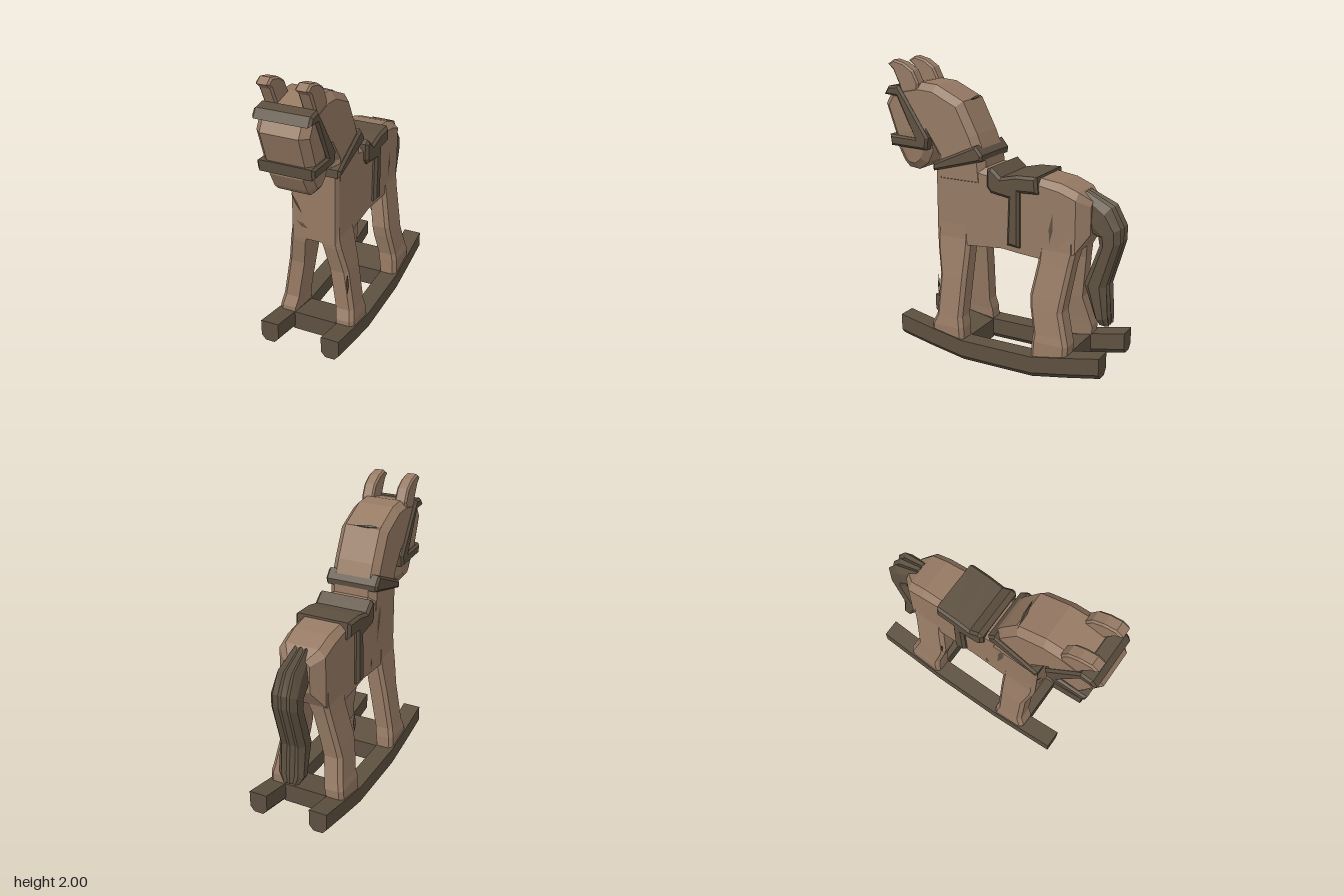
import * as THREE from 'three';

const wood = new THREE.MeshStandardMaterial({ color: 0x967a64, flatShading: true, side: THREE.DoubleSide });
const dark = new THREE.MeshStandardMaterial({ color: 0x5d5040, flatShading: true, side: THREE.DoubleSide });

// Side outline given as [z, y] points, extruded across x with chamfered edges
function slab(points, halfWidth, bevel, x = 0) {
  const shape = new THREE.Shape(points.map(([z, y]) => new THREE.Vector2(z, y)));
  const depth = 2 * (halfWidth - bevel);
  const g = new THREE.ExtrudeGeometry(shape, {
    depth, bevelEnabled: true, bevelSize: bevel, bevelThickness: bevel, bevelOffset: -bevel, bevelSegments: 1,
  });
  return g.translate(0, 0, -depth / 2).rotateY(-Math.PI / 2).translate(x, 0, 0);
}

// Skin over a row of equal rings of [x, y, z] points, capped and wound outward
function loft(rings) {
  const n = rings[0].length, tris = [];
  for (let r = 0; r < rings.length - 1; r++) {
    for (let i = 0; i < n; i++) {
      const j = (i + 1) % n, a = rings[r], b = rings[r + 1];
      tris.push([a[i], a[j], b[j]], [a[i], b[j], b[i]]);
    }
  }
  const last = rings[rings.length - 1];
  for (let i = 1; i < n - 1; i++) {
    tris.push([rings[0][0], rings[0][i + 1], rings[0][i]], [last[0], last[i], last[i + 1]]);
  }
  const V = (p) => new THREE.Vector3(...p);
  const volume = tris.reduce((s, [a, b, c]) => s + V(a).dot(V(b).cross(V(c))), 0);
  if (volume < 0) tris.forEach((t) => t.reverse());
  const g = new THREE.BufferGeometry();
  g.setAttribute('position', new THREE.Float32BufferAttribute(tris.flat(2), 3));
  g.computeVertexNormals();
  return g;
}

export function createModel() {
  const group = new THREE.Group();
  const add = (name, geometry, material) => {
    const mesh = new THREE.Mesh(geometry, material);
    mesh.name = name;
    group.add(mesh);
    return mesh;
  };

  // Body: sections along z as [z, bottom, top, half width, top chamfer]
  add('body', loft([
    [0.435, 0.8, 1.34, 0.15, 0.03], [0.405, 0.8, 1.36, 0.165, 0.04], [0.18, 0.8, 1.36, 0.165, 0.04],
    [0.05, 0.81, 1.335, 0.165, 0.04], [-0.07, 0.82, 1.28, 0.165, 0.04], [-0.2, 0.805, 1.3, 0.165, 0.04],
    [-0.33, 0.795, 1.315, 0.165, 0.04], [-0.47, 0.795, 1.295, 0.165, 0.045],
    [-0.585, 0.86, 1.25, 0.16, 0.045], [-0.66, 0.98, 1.19, 0.09, 0.03],
  ].map(([z, b, t, w, c]) => [
    [-w, b, z], [w, b, z], [w, t - c, z], [w - c, t, z], [c - w, t, z], [-w, t - c, z],
  ])), wood);

  // Neck and head in one outline, narrowing at the muzzle
  const head = slab([
    [0.435, 1.2], [0.435, 1.385], [0.49, 1.5], [0.49, 1.395], [0.53, 1.315], [0.6, 1.265], [0.68, 1.275],
    [0.72, 1.315], [0.77, 1.41], [0.775, 1.5], [0.845, 1.7], [0.79, 1.79], [0.71, 1.83], [0.56, 1.86],
    [0.44, 1.85], [0.24, 1.755], [0.135, 1.55], [0.075, 1.4], [0.06, 1.2],
  ], 0.168, 0.045);
  const p = head.attributes.position;
  for (let i = 0; i < p.count; i++) {
    if (p.getZ(i) > 0.48 && p.getY(i) < 1.46) p.setX(i, p.getX(i) * 0.88);
  }
  add('neckAndHead', head, wood);

  // Harness
  add('bridle', slab([
    [0.79, 1.825], [0.71, 1.835], [0.66, 1.765], [0.485, 1.5], [0.5, 1.415], [0.78, 1.425], [0.79, 1.5],
    [0.59, 1.49], [0.725, 1.76], [0.825, 1.77],
  ], 0.185, 0.015), dark);
  add('collar', slab([
    [0.445, 1.34], [0.445, 1.285], [0.075, 1.385], [0.07, 1.425], [0.12, 1.485],
  ], 0.188, 0.015), dark);
  add('saddle', slab([
    [0.035, 1.34], [0, 1.36], [-0.07, 1.3], [-0.18, 1.325], [-0.325, 1.33], [-0.335, 1.22], [-0.205, 1.215],
    [-0.205, 0.845], [-0.115, 0.855], [-0.125, 1.17], [0.005, 1.19], [0.035, 1.23],
  ], 0.195, 0.018), dark);

  // Tail: sections as [inner z, inner y, outer z, outer y, half width], grooved on both faces
  const across = [[-1, 0.25], [-0.65, 0], [-0.33, 0.1], [0, 0], [0.33, 0.1], [0.65, 0], [1, 0.25]];
  add('tail', loft([
    [-0.58, 1.1, -0.6, 1.25, 0.06], [-0.64, 0.99, -0.78, 1.165, 0.085], [-0.7, 0.965, -0.85, 1.035, 0.09],
    [-0.71, 0.91, -0.85, 0.94, 0.09], [-0.615, 0.64, -0.765, 0.64, 0.09], [-0.695, 0.42, -0.78, 0.43, 0.09],
    [-0.71, 0.38, -0.785, 0.37, 0.06],
  ].map(([iz, iy, oz, oy, w]) => {
    const at = (x, t) => [x * w, iy + (oy - iy) * t, iz + (oz - iz) * t];
    return [...across.map(([x, d]) => at(x, d)), ...[...across].reverse().map(([x, d]) => at(x, 1 - d))];
  })), dark);

  // Legs: sections as [y, front z, back z, inner x, outer x]
  const legs = {
    frontLeg: [
      [1.0, 0.425, 0.18, 0, 0.163], [0.84, 0.435, 0.18, 0.04, 0.168], [0.77, 0.43, 0.18, 0.065, 0.18],
      [0.58, 0.392, 0.188, 0.095, 0.215], [0.3, 0.4, 0.2, 0.138, 0.257],
      [0.23, 0.43, 0.185, 0.15, 0.27], [0.14, 0.435, 0.18, 0.16, 0.272],
    ],
    hindLeg: [
      [1.0, -0.335, -0.585, 0, 0.16], [0.86, -0.335, -0.585, 0.035, 0.166], [0.77, -0.33, -0.57, 0.065, 0.18],
      [0.55, -0.295, -0.54, 0.1, 0.22], [0.47, -0.305, -0.53, 0.11, 0.233], [0.31, -0.34, -0.575, 0.137, 0.257],
      [0.26, -0.335, -0.59, 0.145, 0.268], [0.14, -0.33, -0.585, 0.16, 0.272],
    ],
  };
  // Rocker: sections as [z, bottom]
  const curve = [[0.67, 0.1], [0.43, 0.05], [0.18, 0.005], [-0.34, 0.005], [-0.58, 0.05], [-0.82, 0.1]];
  for (const s of [1, -1]) {
    const side = s > 0 ? 'left' : 'right', c = 0.025;
    for (const [name, rows] of Object.entries(legs)) {
      add(side + name[0].toUpperCase() + name.slice(1), loft(rows.map(([y, f, b, i, o]) => [
        [s * i, y, f], [s * (o - c), y, f], [s * o, y, f - c],
        [s * o, y, b + c], [s * (o - c), y, b], [s * i, y, b],
      ])), wood);
    }
    add(side + 'Rocker', loft(curve.map(([z, y]) => [
      [s * 0.155, y + 0.035, z], [s * 0.185, y, z], [s * 0.25, y, z], [s * 0.28, y + 0.035, z],
      [s * 0.28, y + 0.148, z], [s * 0.155, y + 0.148, z],
    ])), dark);
    add(side + 'Ear', slab([
      [0.8, 1.97], [0.75, 2], [0.67, 1.98], [0.6, 1.935], [0.56, 1.855], [0.57, 1.78], [0.7, 1.77],
      [0.71, 1.83], [0.76, 1.935],
    ], 0.043, 0.012, s * 0.122), wood);
  }

  // Cross boards between the rockers
  add('frontCrossboard', slab([[0.43, 0.06], [0.43, 0.195], [0.18, 0.148], [0.18, 0.012]], 0.17, 0.005), dark);
  add('rearCrossboard', slab([[-0.34, 0.012], [-0.34, 0.148], [-0.58, 0.195], [-0.58, 0.06]], 0.17, 0.005), dark);

  // Nicks in the wood: [position, size, rotation]
  const nicks = [
    [[-0.165, 1.15, 0.16], [0.004, 0.16, 0.02], [0.15, 0, 0]],
    [[-0.165, 0.88, 0.05], [0.004, 0.045, 0.016], [0, 0, 0]],
    [[0.165, 1.0, -0.42], [0.004, 0.1, 0.014], [-0.1, 0, 0]],
    [[-0.12, 1.05, 0.435], [0.012, 0.08, 0.004], [0, 0, 0.5]],
    [[-0.08, 0.9, 0.435], [0.045, 0.014, 0.004], [0, 0, -0.5]],
    [[-0.04, 1.76, 0.242], [0.1, 0.012, 0.012], [0, 0.15, 0]],
    [[-0.218, 0.62, -0.31], [0.012, 0.07, 0.012], [0, 0, 0]],
    [[0.218, 0.5, 0.395], [0.012, 0.08, 0.006], [0, 0, 0]],
  ];
  for (const [pos, size, rot] of nicks) {
    const nick = add('woodNick', new THREE.OctahedronGeometry(1), dark);
    nick.position.set(...pos);
    nick.scale.set(...size);
    nick.rotation.set(...rot);
  }
  return group;
}
